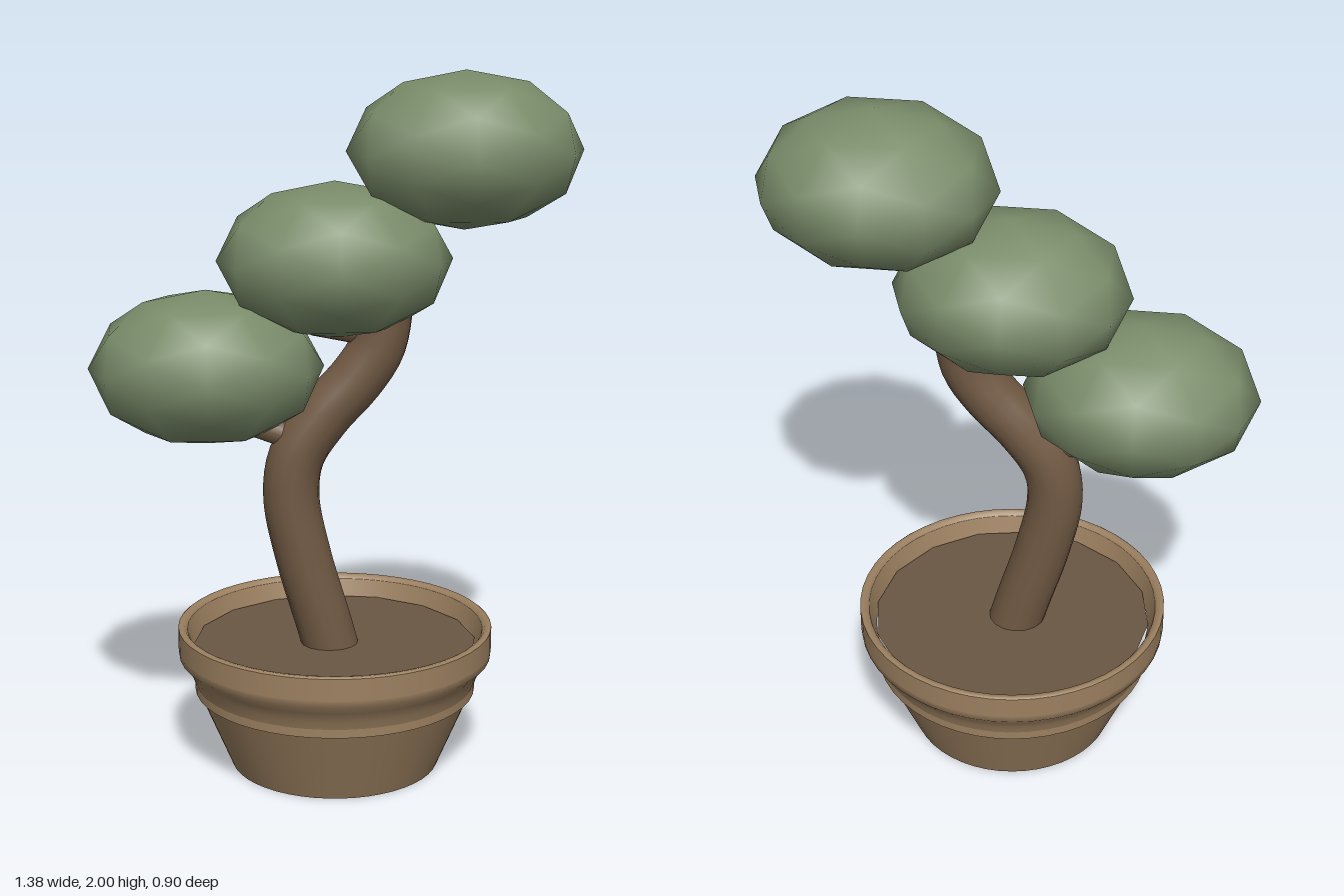
import * as THREE from 'three';

const material = (name, color, side = THREE.FrontSide) => {
  const m = new THREE.MeshStandardMaterial({ color, side });
  m.name = name;
  return m;
};

export function createModel() {
  const clay = material('clay', 0x9c8060);
  const soilBrown = material('soil brown', 0x6b5744);
  const bark = material('bark', 0x705943);
  const leafGreen = material('leaf green', 0x7a8c6a);

  const model = new THREE.Group();
  model.name = 'pottedTree';
  const add = (parent, name, geometry, mat) => {
    const mesh = new THREE.Mesh(geometry, mat);
    mesh.name = name;
    parent.add(mesh);
    return mesh;
  };

  // Pot: smooth lathed strips, split wherever the profile has a hard edge
  const pot = new THREE.Group();
  pot.name = 'pot';
  model.add(pot);
  const strips = {
    potBase: [[0, 0], [0.3, 0]],
    potBody: [[0.3, 0], [0.395, 0.225]],
    rimUnderside: [[0.38, 0.225], [0.405, 0.225]],
    rimBand: [[0.405, 0.225], [0.405, 0.25]],
    rimFlare: [[0.405, 0.25], [0.413, 0.275], [0.428, 0.305], [0.45, 0.33], [0.452, 0.35]],
    rimWall: [[0.452, 0.35], [0.452, 0.415]],
    rimTop: [[0.452, 0.415], [0.446, 0.42], [0.434, 0.418], [0.426, 0.408]],
    rimInside: [[0.426, 0.408], [0.405, 0.34]],
  };
  for (const [name, points] of Object.entries(strips)) {
    const profile = points.map(([r, y]) => new THREE.Vector2(r, y));
    add(pot, name, new THREE.LatheGeometry(profile, 48), clay);
  }

  // Soil disc
  const soil = add(model, 'soil', new THREE.CylinderGeometry(0.408, 0.39, 0.04, 16), soilBrown);
  soil.position.y = 0.34;

  // Curved trunk, its top hidden in the middle foliage
  const path = new THREE.CatmullRomCurve3([
    [-0.01, 0.34], [-0.035, 0.43], [-0.09, 0.62], [-0.124, 0.8], [-0.108, 0.92],
    [-0.03, 1.04], [0.06, 1.14], [0.118, 1.23], [0.138, 1.33], [0.14, 1.38],
  ].map(([x, y]) => new THREE.Vector3(x, y, 0)));
  add(model, 'trunk', new THREE.TubeGeometry(path, 40, 0.08, 16), bark);

  // Short straight branches carrying the foliage
  const branch = (name, x0, y0, x1, y1, radius) => {
    const a = new THREE.Vector3(x0, y0, 0);
    const b = new THREE.Vector3(x1, y1, 0);
    const dir = b.clone().sub(a);
    const mesh = add(model, name, new THREE.CylinderGeometry(radius * 0.85, radius, dir.length(), 12), bark);
    mesh.position.copy(a).add(b).multiplyScalar(0.5);
    mesh.quaternion.setFromUnitVectors(new THREE.Vector3(0, 1, 0), dir.normalize());
  };
  branch('lowerBranch', -0.02, 0.94, -0.36, 1.06, 0.04);
  branch('upperBranch', 0.12, 1.27, -0.06, 1.3, 0.04);

  // Three flattened foliage clumps, stepping up to the left
  const clumps = [['lowerFoliage', -0.36, 1.18], ['middleFoliage', 0, 1.48], ['upperFoliage', 0.36, 1.78]];
  for (const [name, x, y] of clumps) {
    const clump = add(model, name, new THREE.IcosahedronGeometry(1, 1), leafGreen);
    clump.scale.set(0.33, 0.22, 0.285);
    clump.position.set(x, y, 0);
  }

  return model;
}
